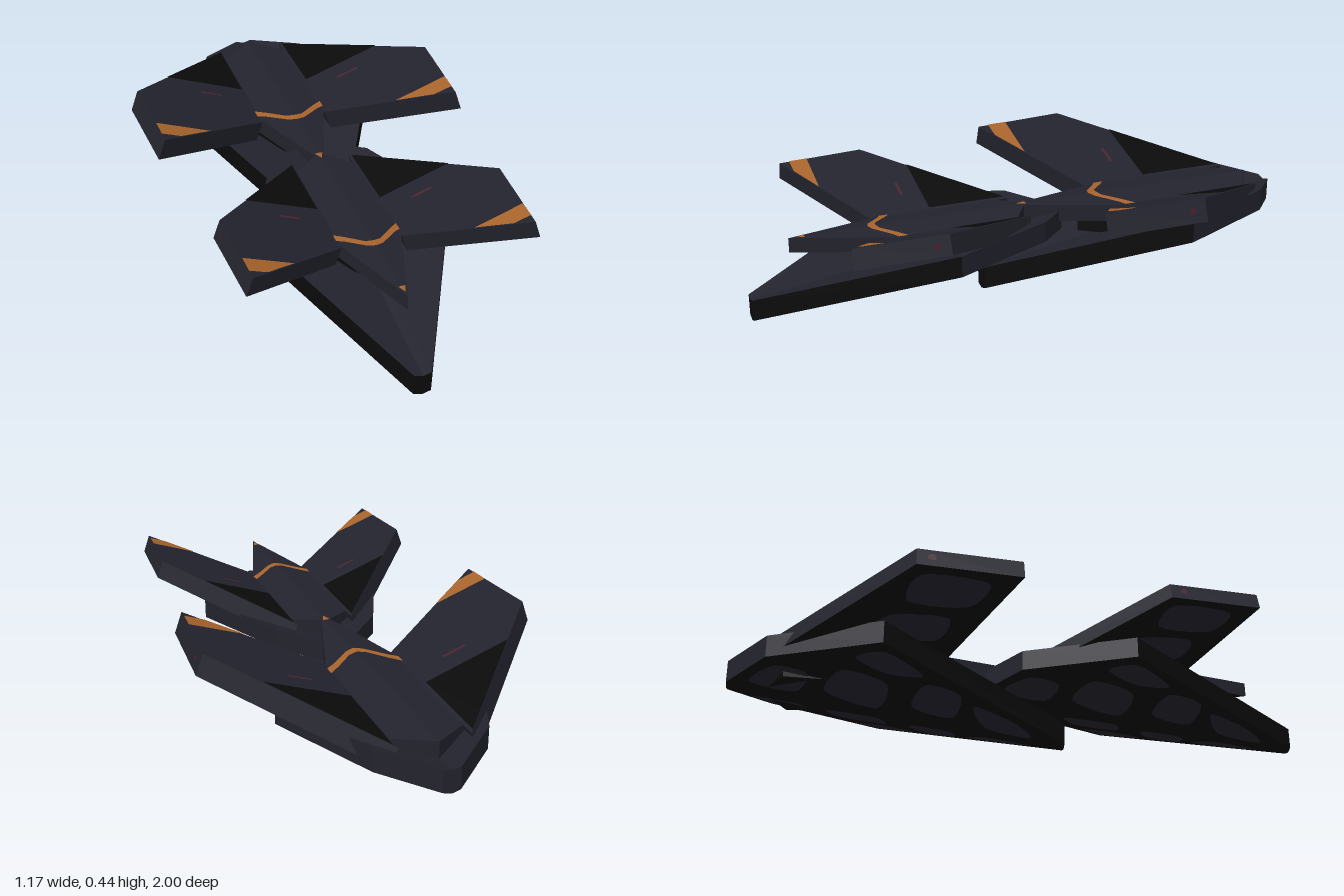
import * as THREE from 'three';

const mat = (name, color, side = THREE.FrontSide) => {
  const m = new THREE.MeshStandardMaterial({ color, side });
  m.name = name;
  return m;
};

// Folded plate heights: keeled hull, raised wing, ridged deck (x is the distance from the centre line)
const hullBottom = (x, z) => 0.026 - 0.144 * z + 0.29 * x;
const hullTop = (x, z) => hullBottom(x, z) + 0.08;
const wingTop = (x) => 0.24 + 0.357 * x;
const WING_DROP = [0.026, -0.073];
const wingBottom = (x) => wingTop(x - WING_DROP[0]) + WING_DROP[1];
const deckTop = (x) => 0.297 - 0.11 * x;

const HULL = [[0, 0.18], [0.03, 0.18], [0.36, -0.47], [0.19, -0.86], [0.03, -1], [0, -1]];
const WING = [[0.12, -0.88], [0.19, -0.8], [0.56, -0.38], [0.535, -0.03], [0.21, -0.23], [0.12, -0.285]];
const DECK = [[0, 0.07], [0.145, -0.37], [0.155, -0.8], [0, -0.91]];
const SPINE = [[0, -0.2], [0.12, -0.35], [0.14, -0.8], [0, -0.88]];

// Turn the outline so that it runs counter-clockwise seen from above, mirrored if s is -1
function orient(pts, s) {
  const p = pts.map(([x, z]) => new THREE.Vector2(x * s, z));
  return THREE.ShapeUtils.area(p) > 0 ? p.reverse() : p;
}

// Triangles of one face of an outline, facing up or down
function faceTriangles(p, at, up) {
  const out = [];
  for (const t of THREE.ShapeUtils.triangulateShape(p, [])) {
    const [a, b, c] = t.map((i) => p[i]);
    const facesUp = (b.y - a.y) * (c.x - a.x) - (b.x - a.x) * (c.y - a.y) > 0;
    const order = facesUp === up ? t : [t[0], t[2], t[1]];
    order.forEach((i) => out.push(...at(p[i])));
  }
  return out;
}

function geometryFrom(positions) {
  const g = new THREE.BufferGeometry();
  g.setAttribute('position', new THREE.Float32BufferAttribute(positions, 3));
  g.computeVertexNormals();
  return g;
}

// Solid plate from a half outline; materials are [top, bottom, sideA, sideB], sideB chosen by isB(z)
function slab(name, pts, topY, [dx, dy], materials, s, isB = () => false) {
  const p = orient(pts, s);
  const top = (v) => [v.x, topY(Math.abs(v.x), v.y), v.y];
  const bottom = (v) => {
    const t = top(v);
    return [t[0] + dx * s, t[1] + dy, t[2]];
  };
  const parts = [faceTriangles(p, top, true), faceTriangles(p, bottom, false), [], []];
  p.forEach((a, i) => {
    const b = p[(i + 1) % p.length];
    if (a.x === 0 && b.x === 0) return;
    parts[isB((a.y + b.y) / 2) ? 3 : 2].push(
      ...top(a), ...bottom(a), ...bottom(b), ...top(a), ...bottom(b), ...top(b));
  });
  const g = geometryFrom(parts.flat());
  let start = 0;
  parts.forEach((q, i) => {
    g.addGroup(start, q.length / 3, i);
    start += q.length / 3;
  });
  const m = new THREE.Mesh(g, materials);
  m.name = name;
  return m;
}

// Painted face lying just off a plate
function patch(name, pts, y, up, material, s, lift = 0.003) {
  const at = (v) => [v.x, y(Math.abs(v.x), v.y) + (up ? lift : -lift), v.y];
  const m = new THREE.Mesh(geometryFrom(faceTriangles(orient(pts, s), at, up)), material);
  m.name = name;
  return m;
}

// Rounded blob through a few points
function blob(pts) {
  const curve = new THREE.CatmullRomCurve3(pts.map(([x, z]) => new THREE.Vector3(x, 0, z)), true, 'catmullrom', 0.4);
  return curve.getPoints(20).slice(0, -1).map((v) => [v.x, v.z]);
}

const HULL_BLOBS = [
  [[0.03, 0.06], [0.09, 0], [0.14, -0.15], [0.04, -0.1]],
  [[0.06, -0.22], [0.18, -0.2], [0.2, -0.32], [0.08, -0.36]],
  [[0.24, -0.33], [0.32, -0.46], [0.27, -0.56], [0.22, -0.45]],
  [[0.04, -0.48], [0.17, -0.45], [0.2, -0.6], [0.08, -0.66]],
  [[0.05, -0.76], [0.15, -0.72], [0.16, -0.83], [0.06, -0.92]],
];
const WING_BLOBS = [
  [[0.44, -0.4], [0.55, -0.36], [0.53, -0.14], [0.43, -0.2]],
  [[0.28, -0.3], [0.38, -0.26], [0.38, -0.45], [0.3, -0.52]],
];

export function createModel() {
  const navy = mat('dark navy', 0x23232e);
  const black = mat('black', 0x0b0b0b);
  const orange = mat('orange', 0xa8642c);
  const red = mat('dark red', 0x4a2430, THREE.DoubleSide);

  // Lower keeled hull with camouflaged belly
  function hull() {
    const g = new THREE.Group();
    g.name = 'hull';
    for (const s of [1, -1]) {
      g.add(slab('hullHalf', HULL, hullTop, [0, -0.08], [navy, black, black, navy], s, (z) => z < -0.5));
      HULL_BLOBS.forEach((b) => g.add(patch('bellyCamouflage', blob(b), hullBottom, false, navy, s)));
    }
    return g;
  }

  // Raised wings and central deck
  function upper() {
    const g = new THREE.Group();
    g.name = 'wingsAndDeck';
    for (const s of [1, -1]) {
      g.add(slab('wing', WING, wingTop, WING_DROP, [navy, black, navy, navy], s));
      g.add(patch('wingRootPanel', [[0.13, -0.868], [0.19, -0.8], [0.419, -0.54], [0.13, -0.54]], wingTop, true, black, s));
      g.add(patch('wingStripe', [[0.35, -0.145], [0.541, -0.145], [0.537, -0.07], [0.47, -0.072]], wingTop, true, orange, s));
      g.add(patch('wingMark', [[0.23, -0.462], [0.31, -0.462], [0.31, -0.45], [0.23, -0.45]], wingTop, true, red, s));
      WING_BLOBS.forEach((b) => g.add(patch('wingCamouflage', blob(b), wingBottom, false, navy, s)));

      // Small round mark on the wing tip
      const dot = new THREE.Mesh(new THREE.CircleGeometry(0.014, 10), red);
      dot.name = 'tipMark';
      dot.position.set(s * 0.572, 0.402, -0.33);
      dot.rotation.set(0, s * Math.PI / 2, -s * 0.0);
      g.add(dot);

      g.add(slab('deckHalf', DECK, deckTop, [0, -0.06], [navy, black, navy, navy], s));
      g.add(slab('spine', SPINE, () => 0.25, [0, -0.09], [black, black, black, black], s));
      g.add(patch('deckChevron', [[0, -0.24], [0.03, -0.25], [0.1, -0.31], [0.14, -0.335], [0.14, -0.375],
        [0.09, -0.335], [0.03, -0.28], [0, -0.272]], deckTop, true, orange, s));
      g.add(patch('noseMark', [[0, 0.045], [0.014, 0.01], [0, 0.01]], deckTop, true, orange, s));
    }
    return g;
  }

  const model = new THREE.Group();
  model.name = 'twinGlider';

  const rear = new THREE.Group();
  rear.name = 'rearCraft';
  rear.add(hull(), upper());
  rear.add(patch('deckFleck', [[0.152, -0.72], [0.152, -0.65], [0.13, -0.68]], deckTop, true, orange, -1));

  // Smaller craft ahead of it
  const front = new THREE.Group();
  front.name = 'frontCraft';
  const frontHull = hull();
  frontHull.scale.set(0.95, 0.9, 0.95);
  frontHull.position.set(0, 0.03, 0.829);
  const frontUpper = upper();
  frontUpper.scale.set(0.846, 0.85, 0.87);
  frontUpper.position.set(0, 0.045, 0.8);
  front.add(frontHull, frontUpper);

  model.add(rear, front);
  return model;
}
